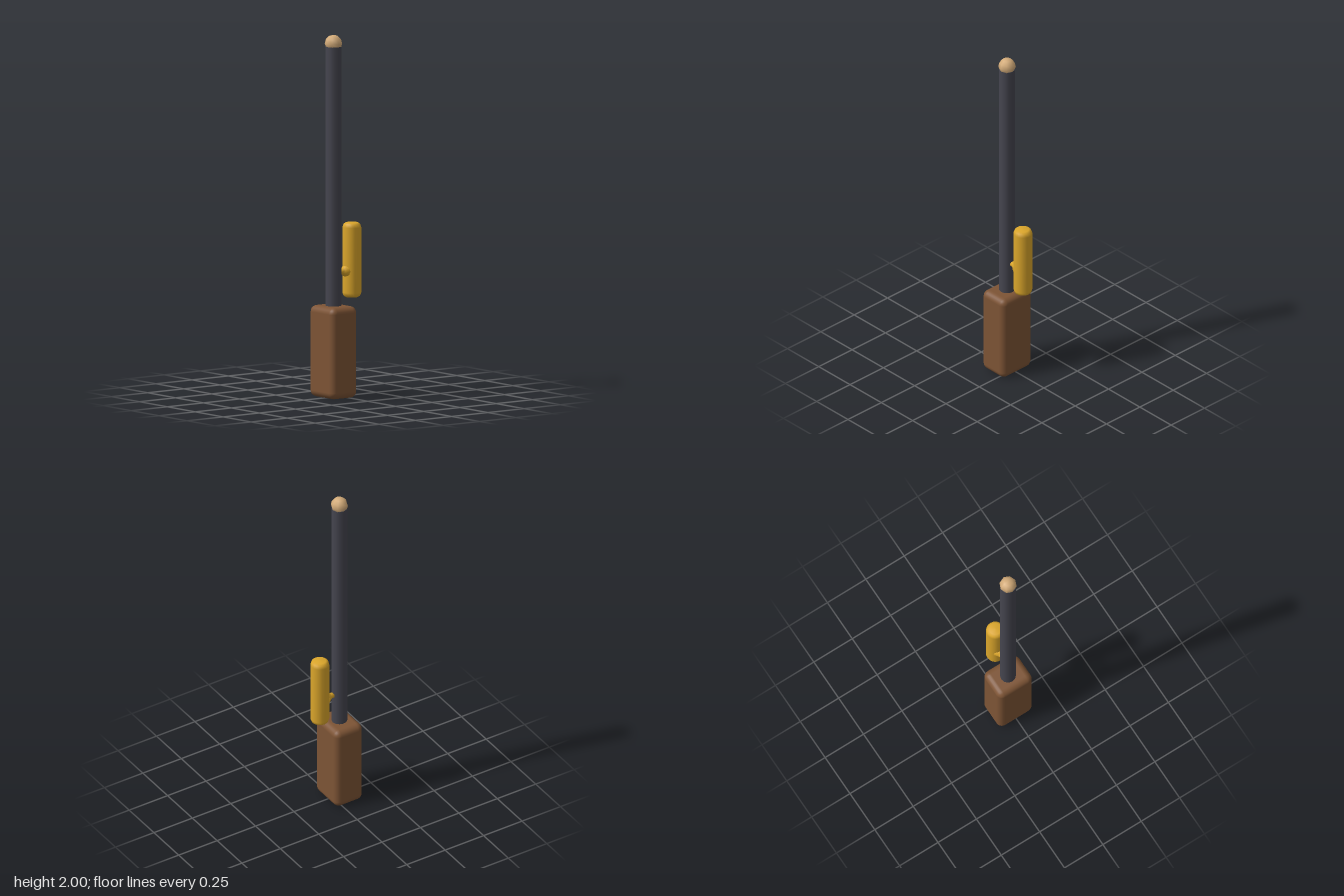
import * as THREE from 'three';
import { RoundedBoxGeometry } from 'three/addons/geometries/RoundedBoxGeometry.js';

const material = (name, color) => {
  const m = new THREE.MeshStandardMaterial({ color });
  m.name = name;
  return m;
};

// Solid of revolution from [radius, height] pairs, bottom to top
const lathe = (points, sides) =>
  new THREE.LatheGeometry(points.map(([r, y]) => new THREE.Vector2(r, y)), sides);

export function createModel() {
  const group = new THREE.Group();
  const brown = material('brown wood', 0x7d5435);
  const charcoal = material('charcoal metal', 0x45454f);
  const gold = material('gold', 0xdba62b);
  const tan = material('tan', 0xd3ab79);
  const shaftX = -0.045;

  const add = (name, geometry, mat, x, y) => {
    const mesh = new THREE.Mesh(geometry, mat);
    mesh.name = name;
    mesh.position.set(x, y, 0);
    group.add(mesh);
    return mesh;
  };

  // Grip block with softened edges
  add('grip', new RoundedBoxGeometry(0.18, 0.505, 0.222, 3, 0.036), brown, shaftX, 0.2525);

  // Long shaft rising from the grip
  add('shaft', new THREE.CylinderGeometry(0.044, 0.044, 1.45, 12), charcoal, shaftX, 1.21);

  // Faceted ball at the tip
  add('tip', new THREE.SphereGeometry(0.048, 8, 6), tan, shaftX, 1.952);

  // Side cylinder with rounded rims
  add('sideCylinder', lathe([
    [0, 0], [0.034, 0.002], [0.046, 0.01], [0.052, 0.028],
    [0.052, 0.387], [0.046, 0.405], [0.034, 0.413], [0, 0.415],
  ], 20), gold, 0.082, 0.54);

  // Flared bracket joining the side cylinder to the shaft
  const bracket = lathe([
    [0, -0.012], [0.015, -0.012], [0.016, 0.01], [0.023, 0.022], [0.036, 0.038], [0.036, 0.06], [0, 0.06],
  ], 12);
  add('bracket', bracket, gold, 0, 0.688).rotation.z = -Math.PI / 2;

  return group;
}
